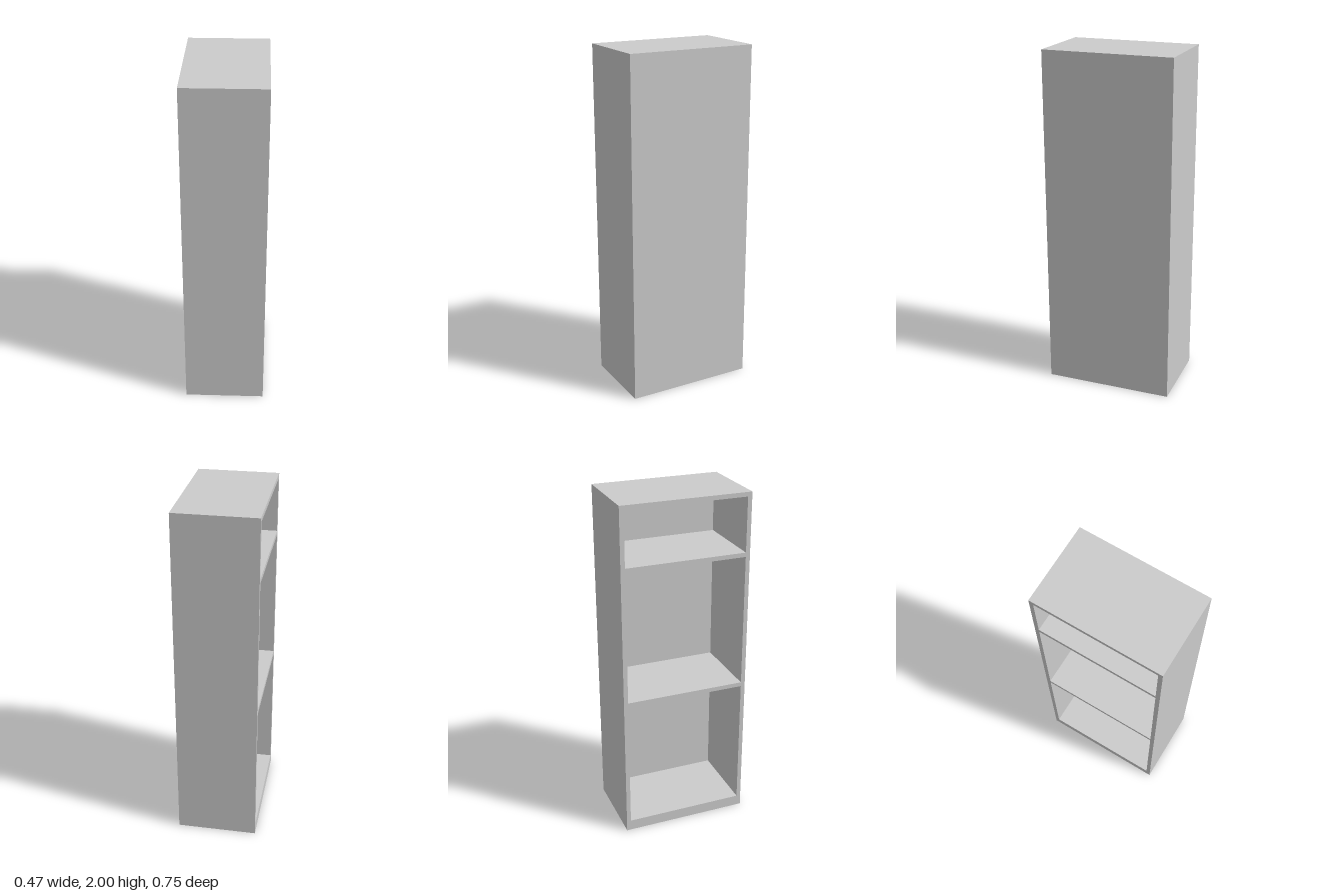
import * as THREE from 'three';

const W = 0.466, H = 2, D = 0.75; // overall width, height, depth
const T = 0.025;                  // panel thickness
const BASE = 0.064;               // height of the solid base

export function createModel() {
  const cabinet = new THREE.Group();
  cabinet.name = 'cabinet';
  const material = new THREE.MeshStandardMaterial({ color: 0xcccccc, flatShading: true });

  // Box given by its lower and upper corners
  const panel = (name, [x0, y0, z0], [x1, y1, z1]) => {
    const mesh = new THREE.Mesh(new THREE.BoxGeometry(x1 - x0, y1 - y0, z1 - z0), material);
    mesh.position.set((x0 + x1) / 2, (y0 + y1) / 2, (z0 + z1) / 2);
    mesh.name = name;
    cabinet.add(mesh);
  };

  const x = W / 2, z = D / 2;

  // Closed walls; the -x side stays open
  panel('frontPanel', [-x, 0, z - T], [x, H, z]);
  panel('backPanel', [-x, 0, -z], [x, H, -z + T]);
  panel('sidePanel', [x - T, 0, -z + T], [x, H, z - T]);

  // Base, shelves and top fit between the walls, flush with the open side
  const levels = [
    ['base', 0, BASE],
    ['lowerShelf', 0.838, 0.863],
    ['upperShelf', 1.637, 1.662],
    ['topPanel', H - T, H],
  ];
  for (const [name, y0, y1] of levels) {
    panel(name, [-x, y0, -z + T], [x - T, y1, z - T]);
  }

  return cabinet;
}
